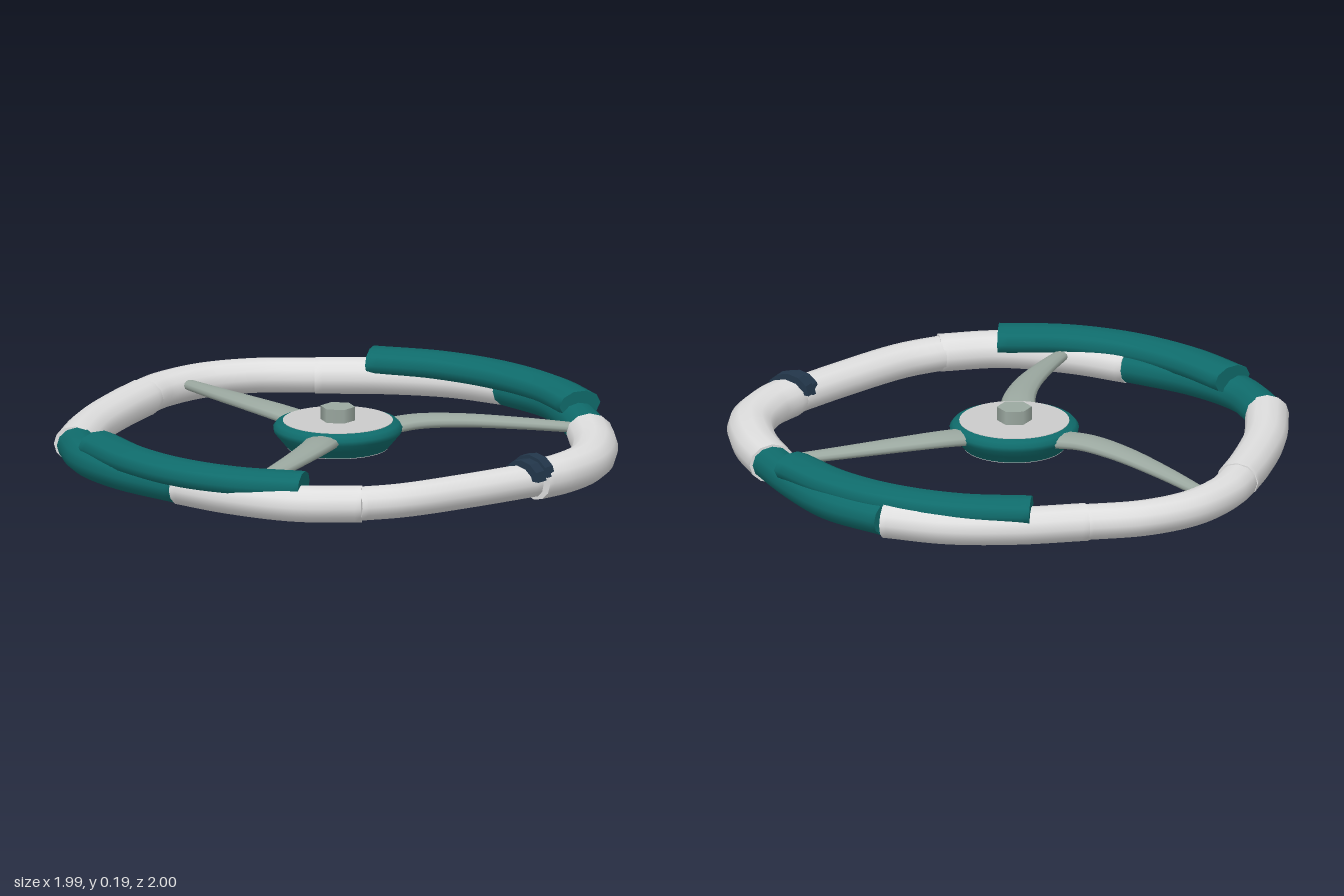
import * as THREE from 'three';

const mat = (name, color, side = THREE.FrontSide) => {
  const m = new THREE.MeshStandardMaterial({ color, side });
  m.name = name;
  return m;
};

// Sweeps an ellipse along a smooth path; size(t) gives [half width, half height]
function sweep(points, size, steps = 28, sides = 12) {
  const curve = new THREE.CatmullRomCurve3(points.map(p => new THREE.Vector3(...p)), false, 'centripetal');
  const pos = [], idx = [];
  const ring = (t) => {
    const c = curve.getPointAt(t), d = curve.getTangentAt(t);
    const l = Math.hypot(d.x, d.z), nx = d.z / l, nz = -d.x / l;
    const [rx, ry] = size(t);
    for (let j = 0; j < sides; j++) {
      const a = j / sides * Math.PI * 2, u = Math.cos(a) * rx, v = Math.sin(a) * ry;
      pos.push(c.x + nx * u, c.y + v, c.z + nz * u);
    }
    return c;
  };
  for (let i = 0; i <= steps; i++) ring(i / steps);
  for (let i = 0; i < steps; i++) for (let j = 0; j < sides; j++) {
    const k = (j + 1) % sides, a = i * sides + j, b = i * sides + k;
    idx.push(a, b, a + sides, b, b + sides, a + sides);
  }
  // End caps with their own vertices keep a sharp edge
  for (const end of [0, 1]) {
    const base = pos.length / 3, c = ring(end);
    pos.push(c.x, c.y, c.z);
    for (let j = 0; j < sides; j++) {
      const p = base + j, q = base + (j + 1) % sides;
      idx.push(base + sides, end ? p : q, end ? q : p);
    }
  }
  const g = new THREE.BufferGeometry();
  g.setAttribute('position', new THREE.Float32BufferAttribute(pos, 3));
  g.setIndex(idx);
  g.computeVertexNormals();
  return g;
}

export function createModel() {
  const model = new THREE.Group();
  model.name = 'steeringWheel';
  const white = mat('rim white', 0xdedede);
  const teal = mat('grip teal', 0x0f6b6b);
  const spokeGrey = mat('spoke grey green', 0x9ba8a0);
  const plateGrey = mat('hub plate grey', 0xcacaca);
  const navy = mat('marker navy', 0x22364a);

  const add = (parent, name, geo, material) => {
    const m = new THREE.Mesh(geo, material);
    m.name = name;
    parent.add(m);
    return m;
  };

  // Rim segments as [name, material, half width, x-z path]
  const segments = [
    ['frontLeftRim', white, 0.083, [[-0.03, 0.9], [0.1, 0.915], [0.28, 0.885], [0.46, 0.77], [0.605, 0.625]]],
    ['leftRim', teal, 0.073, [[0.6, 0.63], [0.74, 0.45], [0.86, 0.24], [0.905, 0]]],
    ['backLeftRim', white, 0.077, [[0.917, 0], [0.87, -0.23], [0.76, -0.44], [0.605, -0.64]]],
    ['backBendRim', white, 0.073, [[0.615, -0.63], [0.47, -0.8], [0.3, -0.9], [0.1, -0.927], [-0.02, -0.91]]],
    ['backRim', white, 0.077, [[-0.02, -0.907], [-0.2, -0.865], [-0.45, -0.785], [-0.69, -0.665]]],
    ['rightRim', teal, 0.073, [[-0.685, -0.66], [-0.81, -0.5], [-0.88, -0.28], [-0.895, 0]]],
    ['frontRightRim', white, 0.077, [[-0.895, 0], [-0.885, 0.22], [-0.82, 0.47], [-0.68, 0.65]]],
    ['frontRim', white, 0.071, [[-0.69, 0.635], [-0.55, 0.725], [-0.3, 0.815], [-0.03, 0.893]]],
  ];
  const rim = new THREE.Group();
  rim.name = 'rim';
  model.add(rim);
  for (const [name, material, w, path] of segments)
    add(rim, name, sweep(path.map(([x, z]) => [x, 0.066, z]), () => [w, w * 0.86]), material);

  // Padded grips lying on top of both sides of the rim
  const grips = [
    ['leftGrip', [[0.725, 0.48], [0.82, 0.26], [0.86, 0], [0.83, -0.25], [0.73, -0.485]]],
    ['rightGrip', [[-0.8, -0.465], [-0.885, -0.24], [-0.92, 0], [-0.885, 0.24], [-0.78, 0.465]]],
  ];
  for (const [name, path] of grips)
    add(model, name, sweep(path.map(([x, z]) => [x, 0.122, z]), () => [0.081, 0.05], 28, 10), teal);

  // Hub: rounded collar with plates above and below
  const hub = new THREE.Group();
  hub.name = 'hub';
  hub.position.set(-0.03, 0, -0.005);
  model.add(hub);
  const collar = [[0.18, 0.04], [0.205, 0.07], [0.226, 0.095], [0.229, 0.112], [0.217, 0.127], [0.195, 0.134]];
  add(hub, 'hubCollar', new THREE.LatheGeometry(collar.map(p => new THREE.Vector2(...p)), 40), teal);
  const plate = (name, r, y) =>
    add(hub, name, new THREE.CylinderGeometry(r, r, 0.008, 40), plateGrey).position.y = y;
  plate('topPlate', 0.195, 0.132);
  plate('bottomPlate', 0.18, 0.042);
  const bolt = add(hub, 'hubBolt', new THREE.CylinderGeometry(0.062, 0.062, 0.053, 6).toNonIndexed(), spokeGrey);
  bolt.rotation.y = Math.PI / 6;
  bolt.position.y = 0.159;

  // Three curved, tapering spokes
  const spokePath = [[0.02, 0.1, -0.18], [0.025, 0.11, -0.3], [0.06, 0.108, -0.46], [0.13, 0.095, -0.67], [0.205, 0.08, -0.86]];
  const spokeGeo = sweep(spokePath, t => [0.068 - 0.041 * t, 0.026 - 0.008 * t], 24, 12);
  for (let i = 0; i < 3; i++) {
    const s = add(hub, 'spoke' + (i + 1), spokeGeo, spokeGrey);
    s.rotation.y = -i * Math.PI * 2 / 3;
    s.scale.z = s.scale.x = i ? 0.97 : 1;
  }

  // Centre marker: two faceted bands arched over the front of the rim
  const band = (name, rx, ry, x, width, y) => {
    const outline = new THREE.Shape();
    for (let i = 0; i <= 6; i++) {
      const a = i / 6 * Math.PI;
      outline[i ? 'lineTo' : 'moveTo'](Math.cos(a) * rx, Math.sin(a) * ry);
    }
    const m = add(model, name, new THREE.ExtrudeGeometry(outline, { depth: width, bevelEnabled: false }), navy);
    m.rotation.y = Math.PI / 2;
    m.position.set(x, y, 0.893);
  };
  band('markerBandRight', 0.08, 0.068, -0.093, 0.045, 0.08);
  band('markerBandLeft', 0.084, 0.07, -0.048, 0.042, 0.09);

  return model;
}
